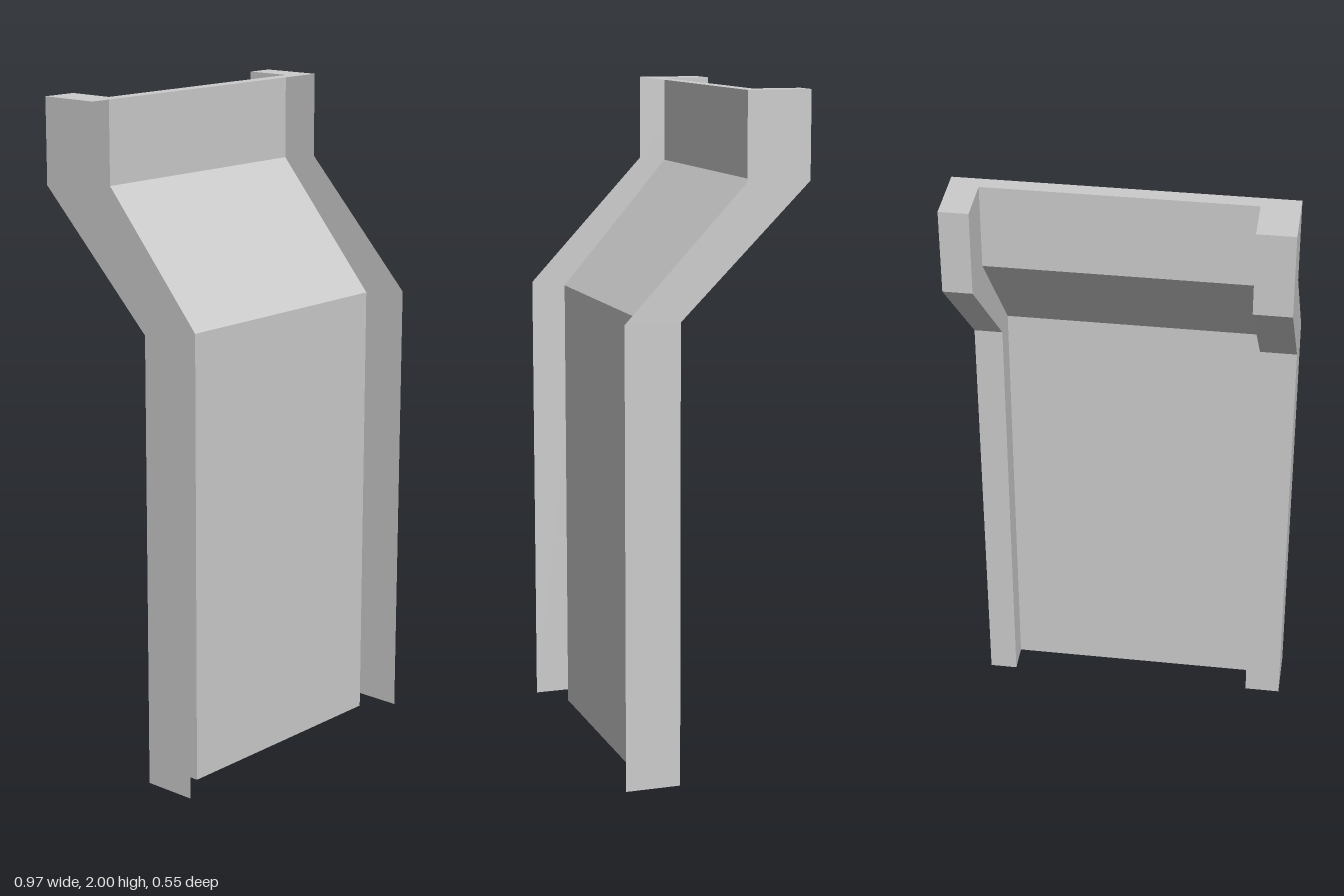
import * as THREE from 'three';

// Height stations with the depth of the open front edge, rail back and panel back
const stations = [
  { y: 0, front: 0.275, rail: 0.11, panel: 0.2 },
  { y: 1.36, front: 0.275, rail: 0.11, panel: 0.2 },
  { y: 1.745, front: -0.085, rail: -0.275, panel: -0.13 },
  { y: 2, front: -0.085, rail: -0.275, panel: -0.13 },
];

const OUTER = 0.485, INNER_RIGHT = -0.375, INNER_LEFT = 0.4;

// Cross-sections running from -x to +x: [x, depth key]
const rightRail = [[-OUTER, 'front'], [-OUTER, 'rail'], [INNER_RIGHT, 'rail'], [INNER_RIGHT, 'panel']];
const leftRail = [[INNER_LEFT, 'panel'], [INNER_LEFT, 'rail'], [OUTER, 'rail'], [OUTER, 'front']];
const panel = [[INNER_RIGHT, 'panel'], [INNER_LEFT, 'panel']];

const material = new THREE.MeshStandardMaterial({
  color: 0xcccccc, flatShading: true, side: THREE.DoubleSide,
});

// Sweeps a cross-section up through the stations as a thin sheet facing outwards
function sweep(section) {
  const positions = [];
  const point = ([x, key], s) => [x, s.y, s[key]];
  for (let j = 0; j < stations.length - 1; j++) {
    for (let i = 0; i < section.length - 1; i++) {
      const a = point(section[i], stations[j]);
      const b = point(section[i + 1], stations[j]);
      const c = point(section[i + 1], stations[j + 1]);
      const d = point(section[i], stations[j + 1]);
      positions.push(...a, ...c, ...b, ...a, ...d, ...c);
    }
  }
  const geometry = new THREE.BufferGeometry();
  geometry.setAttribute('position', new THREE.Float32BufferAttribute(positions, 3));
  geometry.computeVertexNormals();
  return geometry;
}

// Flat cap closing the upper end of the shell
function capGeometry() {
  const top = stations[stations.length - 1];
  const outline = [...rightRail, ...leftRail].map(([x, key]) => new THREE.Vector2(x, -top[key]));
  return new THREE.ShapeGeometry(new THREE.Shape(outline)).rotateX(-Math.PI / 2).translate(0, top.y, 0);
}

export function createModel() {
  const model = new THREE.Group();
  model.name = 'channelShell';
  const add = (name, geometry) => {
    const mesh = new THREE.Mesh(geometry, material);
    mesh.name = name;
    model.add(mesh);
  };

  // Hollow shell, open at the front and the bottom
  add('rightRail', sweep(rightRail));
  add('leftRail', sweep(leftRail));
  add('bentPanel', sweep(panel));
  add('topCap', capGeometry());
  return model;
}
